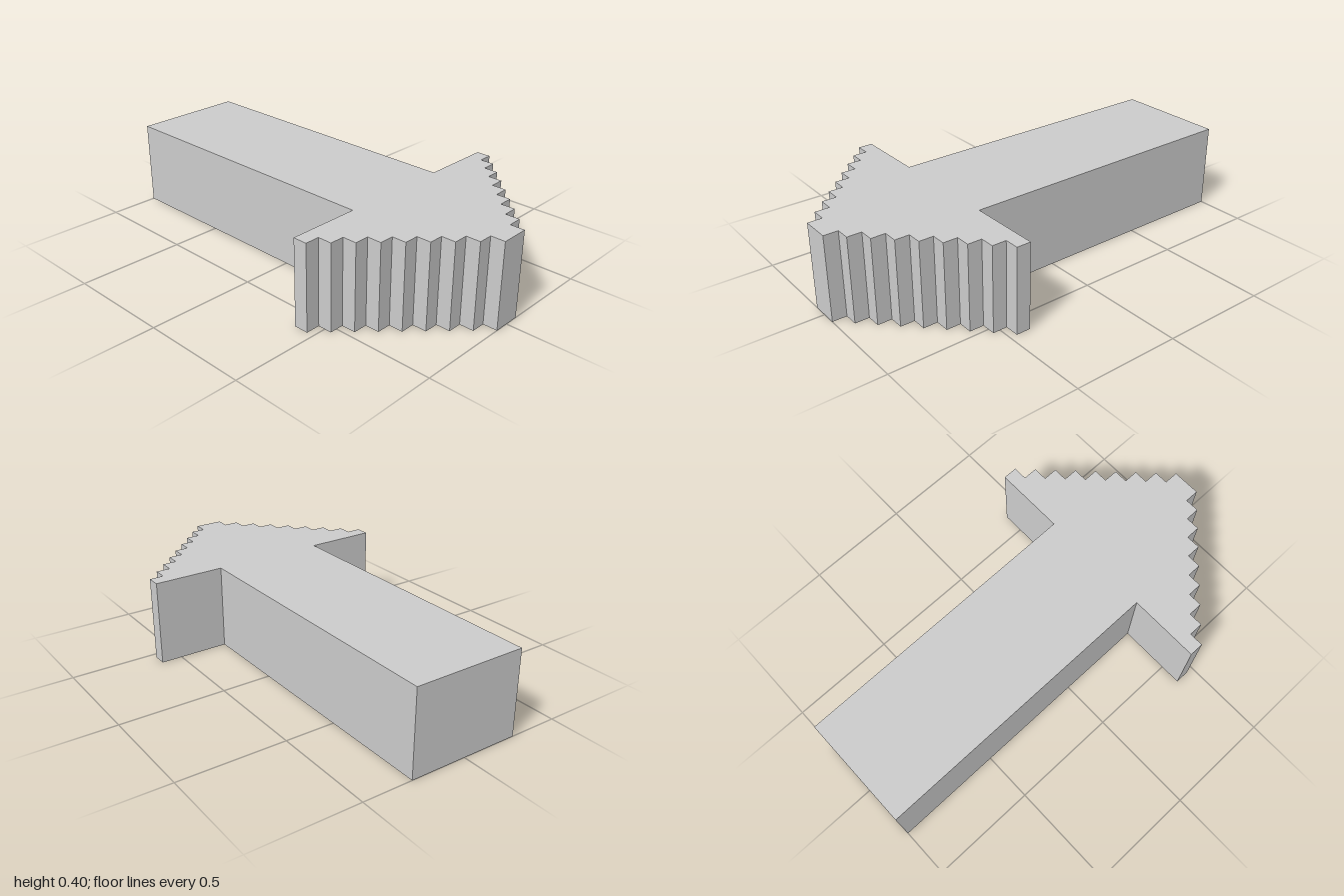
import * as THREE from 'three';

export function createModel() {
  const group = new THREE.Group();
  group.name = 'arrow';

  const steps = 9;
  const step = 0.6 / steps; // stair size, equal in both directions
  const height = 0.4;
  const headStart = 0.4;
  const shaftHalf = 4 * step;

  // Half outline: shaft edge, barb, then stairs up to the blunt tip
  const half = [[-1, -shaftHalf], [headStart, -shaftHalf]];
  for (let i = 0; i < steps; i++) {
    const y = -(steps - i) * step;
    half.push([headStart + i * step, y], [headStart + (i + 1) * step, y]);
  }

  // Mirror the half to close the outline
  const mirrored = half.map(([x, y]) => [x, -y]).reverse();
  const outline = [...half, ...mirrored].map(([x, y]) => new THREE.Vector2(x, y));

  // Extrude and lay flat, so the thickness runs up from the ground
  const geometry = new THREE.ExtrudeGeometry(new THREE.Shape(outline), {
    depth: height,
    bevelEnabled: false,
  });
  geometry.rotateX(-Math.PI / 2);

  const material = new THREE.MeshStandardMaterial({ color: 0xcccccc, flatShading: true });
  const body = new THREE.Mesh(geometry, material);
  body.name = 'steppedArrowBody';
  group.add(body);

  return group;
}
